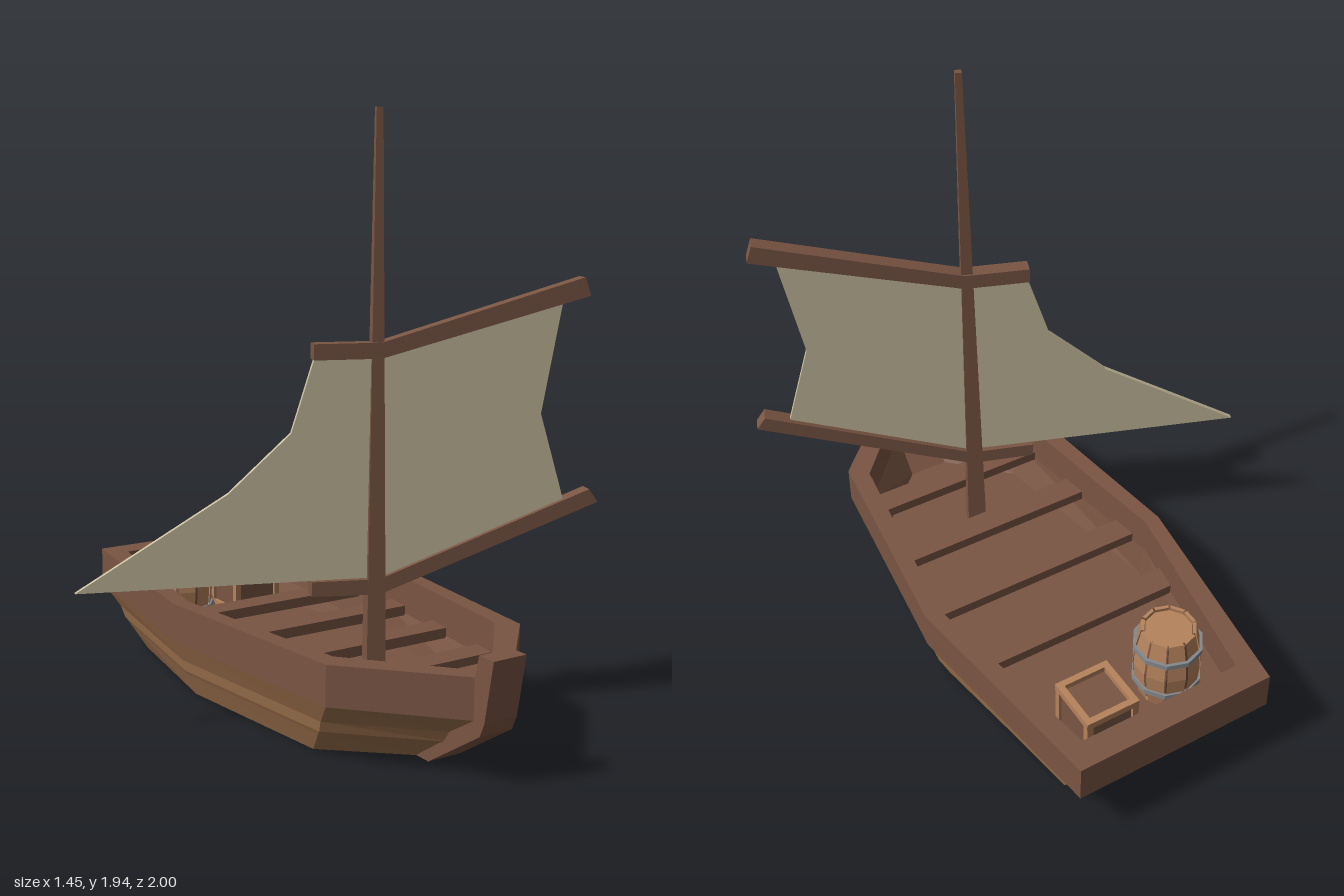
import * as THREE from 'three';

const paint = (color, side = THREE.FrontSide) =>
  new THREE.MeshStandardMaterial({ color, side, flatShading: true });
const darkWood = paint(0x7a5543);
const plankWood = paint(0xa0734e);
const lightWood = paint(0xb5835c, THREE.DoubleSide);
const iron = paint(0x85898c);
const cloth = paint(0xc9be9f, THREE.DoubleSide);

function add(parent, name, geometry, material, x = 0, y = 0, z = 0) {
  const mesh = new THREE.Mesh(geometry, material);
  mesh.name = name;
  mesh.position.set(x, y, z);
  parent.add(mesh);
  return mesh;
}

// Flat outline given a thickness centred on z = 0
function slab(points, depth) {
  const shape = new THREE.Shape(points.map(p => new THREE.Vector2(...p)));
  return new THREE.ExtrudeGeometry(shape, { depth, bevelEnabled: false }).translate(0, 0, -depth / 2);
}

const lathe = (profile, ...args) =>
  new THREE.LatheGeometry(profile.map(p => new THREE.Vector2(...p)), ...args);

// Ring of hull corners at height y; stations are [half width, distance from stern]
function ring(y, stations) {
  const side = stations.map(([h, w]) => [h, y, w]);
  return [...side, ...side.map(([h, , w]) => [-h, y, w]).reverse()];
}

// Skin between successive rings, with optional end caps
function loft(rings, capStart, capEnd) {
  const pos = [];
  const n = rings[0].length;
  for (let r = 0; r < rings.length - 1; r++) {
    for (let i = 0; i < n; i++) {
      const j = (i + 1) % n, lo = rings[r], hi = rings[r + 1];
      pos.push(...lo[i], ...hi[i], ...hi[j], ...lo[i], ...hi[j], ...lo[j]);
    }
  }
  const last = rings[rings.length - 1];
  for (let i = 1; i < n - 1; i++) {
    if (capStart) pos.push(...rings[0][0], ...rings[0][i], ...rings[0][i + 1]);
    if (capEnd) pos.push(...last[0], ...last[i + 1], ...last[i]);
  }
  const g = new THREE.BufferGeometry();
  g.setAttribute('position', new THREE.Float32BufferAttribute(pos, 3));
  g.computeVertexNormals();
  return g;
}

function buildHull(boat) {
  const rim = [[0.348, 0], [0.458, 0.78], [0.37, 1.562], [0.06, 1.89]];
  const keel = [[0.295, 0.264], [0.38, 0.79], [0.31, 1.405], [0.04, 1.64]];
  const between = t => rim.map(([h, w], i) => [h + (keel[i][0] - h) * t, w + (keel[i][1] - w) * t]);
  const innerRim = [[0.285, 0.092], [0.404, 0.78], [0.31, 1.51], [0.065, 1.79]];
  const innerFloor = [[0.27, 0.2], [0.385, 0.78], [0.265, 1.47], [0.07, 1.67]];

  // Overlapping strakes, closed at the bottom
  add(boat, 'hullPlanking', loft([
    ring(0, keel), ring(0.075, between(0.59)), ring(0.087, between(0.51)),
    ring(0.125, between(0.41)), ring(0.195, rim),
  ], true, false), plankWood);
  // Rail band, inner walls and floor
  add(boat, 'railAndInterior', loft([
    ring(0.195, rim), ring(0.325, rim), ring(0.325, innerRim),
    ring(0.195, innerRim), ring(0.09, innerFloor),
  ], false, true), darkWood);

  // Curved stem post at the bow
  const stem = slab([
    [1.6, 0], [1.67, 0], [1.905, 0.155], [1.925, 0.2], [1.96, 0.395],
    [1.895, 0.395], [1.88, 0.325], [1.83, 0.18],
  ], 0.12);
  add(boat, 'stemPost', stem, darkWood, -0.012, 0, 0).rotation.y = -Math.PI / 2;

  // Rowing benches, ends let into the walls
  [[0.61, 0.385], [0.89, 0.405], [1.17, 0.37], [1.45, 0.33]].forEach(([w, h]) =>
    add(boat, 'bench', new THREE.BoxGeometry(h * 2, 0.035, 0.09), darkWood, 0, 0.205, w));
}

function buildBarrel(boat) {
  const barrel = new THREE.Group();
  barrel.name = 'barrel';
  barrel.position.set(-0.172, 0.09, 0.305);
  // Dark core and lid, seen between the staves
  add(barrel, 'core', lathe([[0, 0.005], [0.085, 0.005], [0.104, 0.14], [0.085, 0.262], [0, 0.262]], 10), darkWood);
  add(barrel, 'lid', new THREE.CylinderGeometry(0.078, 0.078, 0.02, 10), lightWood, 0, 0.262, 0);
  // Staves with narrow gaps
  const stave = [[0.08, 0], [0.092, 0], [0.108, 0.07], [0.114, 0.14], [0.107, 0.21], [0.092, 0.28],
    [0.08, 0.28], [0.096, 0.14], [0.08, 0]];
  const step = Math.PI / 5;
  for (let i = 0; i < 10; i++)
    add(barrel, 'stave', lathe(stave, 1, (i + 0.06) * step, 0.88 * step), lightWood);
  // Iron hoops
  for (const y of [0.07, 0.21]) {
    const hoop = [[0.106, -0.009], [0.117, -0.009], [0.117, 0.009], [0.106, 0.009], [0.106, -0.009]];
    add(barrel, 'hoop', lathe(hoop, 10), iron, 0, y, 0);
  }
  boat.add(barrel);
}

function buildCrate(boat) {
  const crate = new THREE.Group();
  crate.name = 'crate';
  crate.position.set(0.129, 0.09, 0.255);
  add(crate, 'crateBody', new THREE.BoxGeometry(0.17, 0.175, 0.17), darkWood, 0, 0.0875, 0);
  for (let i = 0; i < 4; i++) {
    const side = new THREE.Group();
    side.name = 'crateSide';
    side.rotation.y = i * Math.PI / 2;
    for (const y of [0.012, 0.183])
      add(side, 'crateRail', new THREE.BoxGeometry(0.19, 0.024, 0.022), lightWood, 0, y, 0.085);
    add(side, 'cratePost', new THREE.BoxGeometry(0.022, 0.19, 0.022), lightWood, 0.084, 0.095, 0.084);
    crate.add(side);
  }
  boat.add(crate);
}

function buildRig(model) {
  const rig = new THREE.Group();
  rig.name = 'rig';
  rig.position.set(0.045, 0, 0.337);
  rig.rotation.y = -0.62;

  // Square tapering mast
  const mast = new THREE.CylinderGeometry(0.015, 0.046, 1.85, 4).rotateY(Math.PI / 4);
  add(rig, 'mast', mast, darkWood, 0, 1.01, 0);

  // Bent yards above and below the sails
  add(rig, 'boom', slab([[-0.21, 0.425], [0.01, 0.42], [0.735, 0.687], [0.705, 0.73],
    [0.01, 0.47], [-0.21, 0.472]], 0.052), darkWood);
  add(rig, 'gaff', slab([[-0.205, 1.172], [0.01, 1.172], [0.69, 1.354], [0.67, 1.413],
    [0.01, 1.222], [-0.205, 1.222]], 0.052), darkWood);

  // Mainsail and jib
  add(rig, 'mainsail', slab([[0, 0.45], [0.625, 0.69], [0.54, 0.98], [0.605, 1.34], [0, 1.19]], 0.018), cloth);
  add(rig, 'jib', slab([[0, 0.472], [-0.945, 0.472], [-0.47, 0.762], [-0.272, 0.945],
    [-0.195, 1.19], [0, 1.19]], 0.018), cloth);
  model.add(rig);
}

export function createModel() {
  const model = new THREE.Group();
  model.name = 'sailingBoat';
  // Boat group starts at the middle of the stern and runs along +z to the bow
  const boat = new THREE.Group();
  boat.name = 'boat';
  boat.position.set(0.385, 0, -0.91);
  boat.rotation.y = -Math.PI / 12;
  buildHull(boat);
  buildBarrel(boat);
  buildCrate(boat);
  model.add(boat);
  buildRig(model);
  return model;
}
